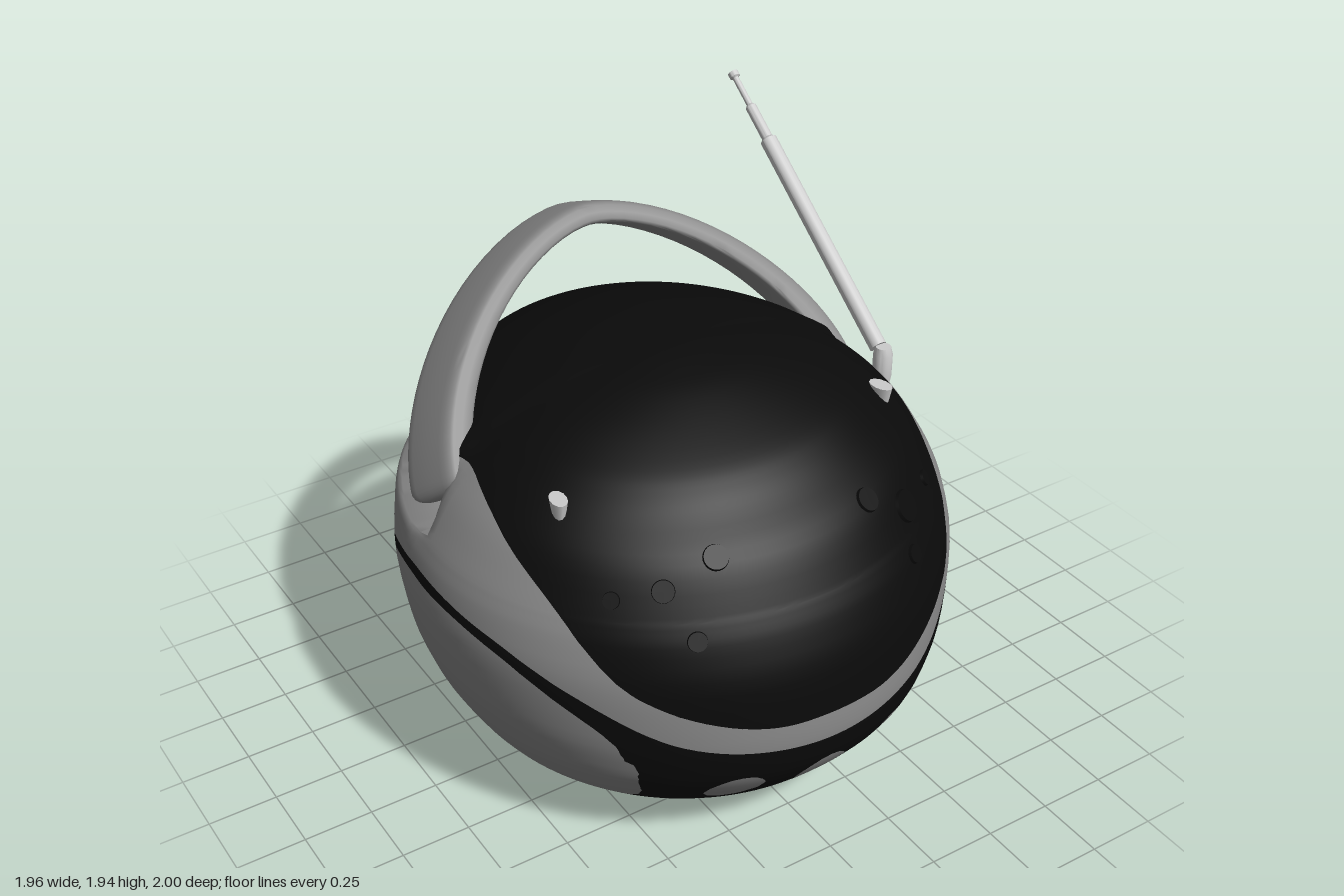
import * as THREE from 'three';
import { toCreasedNormals } from 'three/addons/utils/BufferGeometryUtils.js';

const V2 = (x, y) => new THREE.Vector2(x, y);
const V3 = (x, y, z) => new THREE.Vector3(x, y, z);
const mix = THREE.MathUtils.lerp;

// Smooth height curve over z, returned as a lookup function
function curve(points) {
  const p = new THREE.SplineCurve(points.map(([z, y]) => V2(z, y))).getPoints(120);
  return (z) => {
    if (z <= p[0].x) return p[0].y;
    for (let i = 1; i < p.length; i++) {
      if (z <= p[i].x) return mix(p[i - 1].y, p[i].y, (z - p[i - 1].x) / (p[i].x - p[i - 1].x || 1));
    }
    return p[p.length - 1].y;
  };
}

// Skin over a list of closed rings of equal length
function loft(rings, crease) {
  const n = rings[0].length, index = [];
  for (let i = 0; i < rings.length - 1; i++) {
    for (let j = 0; j < n; j++) {
      const k = (j + 1) % n, a = i * n, b = a + n;
      index.push(a + j, a + k, b + k, a + j, b + k, b + j);
    }
  }
  const g = new THREE.BufferGeometry().setFromPoints(rings.flat());
  g.setIndex(index);
  return toCreasedNormals(g, crease);
}

// Triangles as corner objects, so they can be cut along colour borders
function toTriangles(g) {
  const P = g.attributes.position, N = g.attributes.normal, tris = [];
  const corner = (i) => ({ p: V3().fromBufferAttribute(P, i), n: V3().fromBufferAttribute(N, i) });
  for (let i = 0; i < P.count; i += 3) tris.push([corner(i), corner(i + 1), corner(i + 2)]);
  return tris;
}

function split(tris, f) {
  const parts = [[], []];
  for (const t of tris) {
    const d = t.map((c) => f(c.p));
    [1, -1].forEach((sign, side) => {
      if (!d.some((v) => v * sign > 0)) return;
      const poly = [];
      for (let i = 0; i < 3; i++) {
        const j = (i + 1) % 3;
        if (d[i] * sign >= 0) poly.push(t[i]);
        if (d[i] * d[j] < 0) {
          const s = d[i] / (d[i] - d[j]);
          poly.push({ p: t[i].p.clone().lerp(t[j].p, s), n: t[i].n.clone().lerp(t[j].n, s).normalize() });
        }
      }
      for (let i = 2; i < poly.length; i++) parts[side].push([poly[0], poly[i - 1], poly[i]]);
    });
  }
  return parts;
}

function fromTriangles(tris) {
  const c = tris.flat(), g = new THREE.BufferGeometry();
  g.setAttribute('position', new THREE.Float32BufferAttribute(c.flatMap((v) => v.p.toArray()), 3));
  g.setAttribute('normal', new THREE.Float32BufferAttribute(c.flatMap((v) => v.n.toArray()), 3));
  return g;
}

// Body sections: height, half width, front reach, back reach, half width behind the handle recess
const LOWER = [
  [0, 0.4, 0.46, 0.4, 0.4], [0.02, 0.52, 0.57, 0.46, 0.52], [0.05, 0.61, 0.64, 0.55, 0.61],
  [0.1, 0.68, 0.71, 0.65, 0.68], [0.19, 0.78, 0.82, 0.78, 0.78], [0.35, 0.875, 0.95, 0.875, 0.875],
  [0.46, 0.92, 0.99, 0.915, 0.92], [0.58, 0.955, 1, 0.945, 0.955], [0.78, 0.98, 0.98, 0.98, 0.98],
  [0.92, 0.96, 0.93, 0.993, 0.965], [0.985, 0.938, 0.895, 0.997, 0.95], [1.008, 0.928, 0.88, 0.975, 0.93],
];
const UPPER = [
  [1.02, 0.922, 0.873, 0.86, 0.805], [1.155, 0.84, 0.785, 0.852, 0.8], [1.25, 0.75, 0.665, 0.845, 0.785],
  [1.305, 0.68, 0.6, 0.81, 0.71], [1.35, 0.61, 0.53, 0.735, 0.635], [1.41, 0.48, 0.39, 0.6, 0.5],
  [1.46, 0.31, 0.25, 0.43, 0.33], [1.485, 0.18, 0.14, 0.29, 0.19], [1.497, 0.08, 0.06, 0.15, 0.08], [1.5, 0, 0, 0, 0],
];

function sampleSections(rows, steps) {
  const curves = [1, 2, 3, 4].map((k) => new THREE.SplineCurve(rows.map((r) => V2(r[k], r[0]))));
  return Array.from({ length: steps + 1 }, (_, i) => {
    const q = curves.map((c) => c.getPoint(i / steps));
    return [Math.max(0, q[0].y), ...q.map((v) => Math.max(0, v.x))];
  });
}

export function createModel() {
  const model = new THREE.Group();
  const material = (name, color) => Object.assign(new THREE.MeshStandardMaterial({ color }), { name });
  const grey = material('grey plastic', 0x8a8a8a);
  const black = material('black plastic', 0x0a0a0a);
  const silver = material('silver metal', 0xcccccc);
  const add = (name, geometry, mat, parent = model) => {
    const m = new THREE.Mesh(geometry, mat);
    m.name = name;
    parent.add(m);
    return m;
  };

  // Body shell, with a recess behind the handle feet
  const sections = [[0, 0, 0, 0, 0], ...sampleSections(LOWER, 36), ...sampleSections(UPPER, 36)];
  const SIDES = 160;
  const shell = loft(sections.map(([y, a, f, b, inset]) => Array.from({ length: SIDES }, (_, j) => {
    const t = (j / SIDES) * Math.PI * 2, c = Math.cos(t);
    const w = THREE.MathUtils.smoothstep(-c, 0.08, 0.19);
    return V3(Math.sin(t) * mix(a, inset, w), y, c * (c > 0 ? f : b));
  })), 0.7);

  // Colour borders on the shell
  const bandTop = curve([[-1, 1.25], [-0.5, 1.25], [-0.11, 1.25], [0.04, 1.23], [0.25, 1.155], [0.52, 1],
    [0.76, 0.77], [0.95, 0.63], [1, 0.612]]);
  const bandLow = curve([[-1, 0.58], [-0.67, 0.58], [-0.59, 0.597], [-0.52, 0.66], [-0.47, 0.755], [-0.36, 0.845],
    [-0.2, 0.89], [-0.02, 0.9], [0.2, 0.88], [0.41, 0.835], [0.63, 0.73], [0.84, 0.58], [1, 0.505]]);
  const speakerTop = curve([[-0.535, 0.57], [-0.49, 0.695], [-0.36, 0.8], [-0.2, 0.855], [-0.02, 0.86], [0.2, 0.845],
    [0.41, 0.79], [0.6, 0.67], [0.7, 0.57], [0.735, 0.46]]);
  const speakerLow = curve([[-0.535, 0.55], [-0.515, 0.45], [-0.42, 0.3], [-0.26, 0.19], [-0.07, 0.16], [0.2, 0.16],
    [0.52, 0.165], [0.65, 0.245], [0.72, 0.38], [0.735, 0.44]]);
  const inBand = ({ y, z }) => Math.min(bandTop(z) - y, y - bandLow(z));
  const inSpeaker = ({ y, z }) => Math.min(speakerTop(z) - y, y - speakerLow(z), z + 0.535, 0.735 - z);
  const inButton = ({ x, y, z }) => Math.min(z, 0.09 - Math.min(...[-0.305, 0, 0.3].map((c) => Math.hypot(x - c, y - 0.31))));
  let rest = toTriangles(shell);
  for (const [name, test] of [['greyBand', inBand], ['sideSpeakers', inSpeaker], ['frontButtons', inButton]]) {
    const [inside, outside] = split(rest, test);
    add(name, fromTriangles(inside), grey);
    rest = outside;
  }
  add('blackShell', fromTriangles(rest), black);

  // Carrying handle: a tilted arch with rounded feet
  const up = V3(0, 0.77, -0.637), across = V3(0, 0.637, 0.77), pivot = V3(0, 1.165, -0.2);
  const power = (v, e) => Math.sign(v) * Math.abs(v) ** e;
  const arch = [];
  for (let i = 0; i <= 64; i++) {
    const s = Math.sin((1 - i / 32) * Math.PI / 2), phi = s * Math.PI / 2;
    const k = Math.sqrt(Math.max(0, 1 - (Math.max(0, Math.abs(s) - 0.93) / 0.07) ** 2));
    arch.push(Array.from({ length: 24 }, (_, j) => {
      const t = (j / 24) * Math.PI * 2;
      const v = power(Math.cos(t), 0.4) * k, o = 0.5 - 0.5 * power(Math.sin(t), 0.4) * k;
      const reach = mix(0.845, 0.775 + 0.035, 0) + -0.035 * v + 0.0 - 0.085 * o;
      const half = 0.86 - 0.04 * v - 0.11 * o;
      return pivot.clone().addScaledVector(up, -0.1 + reach * Math.cos(phi) ** 1.21)
        .addScaledVector(across, 0.12 * v).add(V3(half * power(Math.sin(phi), 1.21), 0, 0));
    }));
  }
  add('handle', loft(arch, 0.8), grey);

  // Telescopic aerial on its swivel
  const aerial = new THREE.Group();
  aerial.name = 'aerial';
  model.add(aerial);
  const lathe = (pts) => new THREE.LatheGeometry(pts.map(([r, y]) => V2(r, y)), 20);
  add('aerialSwivel', toCreasedNormals(lathe([[0, 0], [0.024, 0], [0.036, 0.07], [0.036, 0.16], [0.028, 0.19], [0, 0.19]]), 0.6),
    silver, aerial).position.set(0.89, 1.03, 0.03);
  const rod = add('aerialRod', toCreasedNormals(lathe([[0, 0], [0.032, 0], [0.032, 0.9], [0.021, 0.91], [0.021, 1.05],
    [0.012, 1.06], [0.012, 1.18], [0.02, 1.185], [0.02, 1.205], [0, 1.21]]), 0.6), silver, aerial);
  rod.position.set(0.89, 1.205, 0.0);
  rod.rotation.x = -Math.atan2(0.8, 0.6);

  // Point on the front of the dome for a given x and y
  const onDome = (x, y) => {
    const i = sections.findIndex((r) => r[0] > y), lo = sections[i - 1], hi = sections[i];
    const s = (y - lo[0]) / (hi[0] - lo[0]), a = mix(lo[1], hi[1], s), f = mix(lo[2], hi[2], s);
    return V3(x, y, f * Math.sqrt(Math.max(0, 1 - (x / a) ** 2)));
  };
  const domeNormal = (x, y) => {
    const p = onDome(x, y), e = 0.01;
    return onDome(x + e, y).sub(p).cross(onDome(x, y + e).sub(p)).normalize();
  };

  // Low round keys on the black lid
  for (const [x, y, r] of [[-0.62, 1.065, 0.03], [-0.48, 1.095, 0.04], [-0.3, 1.17, 0.045], [-0.43, 0.955, 0.035],
    [0.29, 1.17, 0.045], [0.46, 1.08, 0.06], [0.43, 0.955, 0.035], [0.63, 1.065, 0.03]]) {
    const key = add('lidKey', new THREE.CylinderGeometry(r * 0.9, r, 0.018, 24), black);
    key.position.copy(onDome(x, y));
    key.quaternion.setFromUnitVectors(V3(0, 1, 0), domeNormal(x, y));
  }

  // Small lid catches
  for (const side of [-1, 1]) {
    const tab = add(side > 0 ? 'leftCatch' : 'rightCatch', new THREE.CylinderGeometry(0.034, 0.024, 0.065, 12), silver);
    tab.scale.set(0.85, 1, 1.4);
    tab.position.set(side * 0.64, 1.262, 0.33);
    tab.rotation.y = side * 0.2;
  }
  return model;
}
